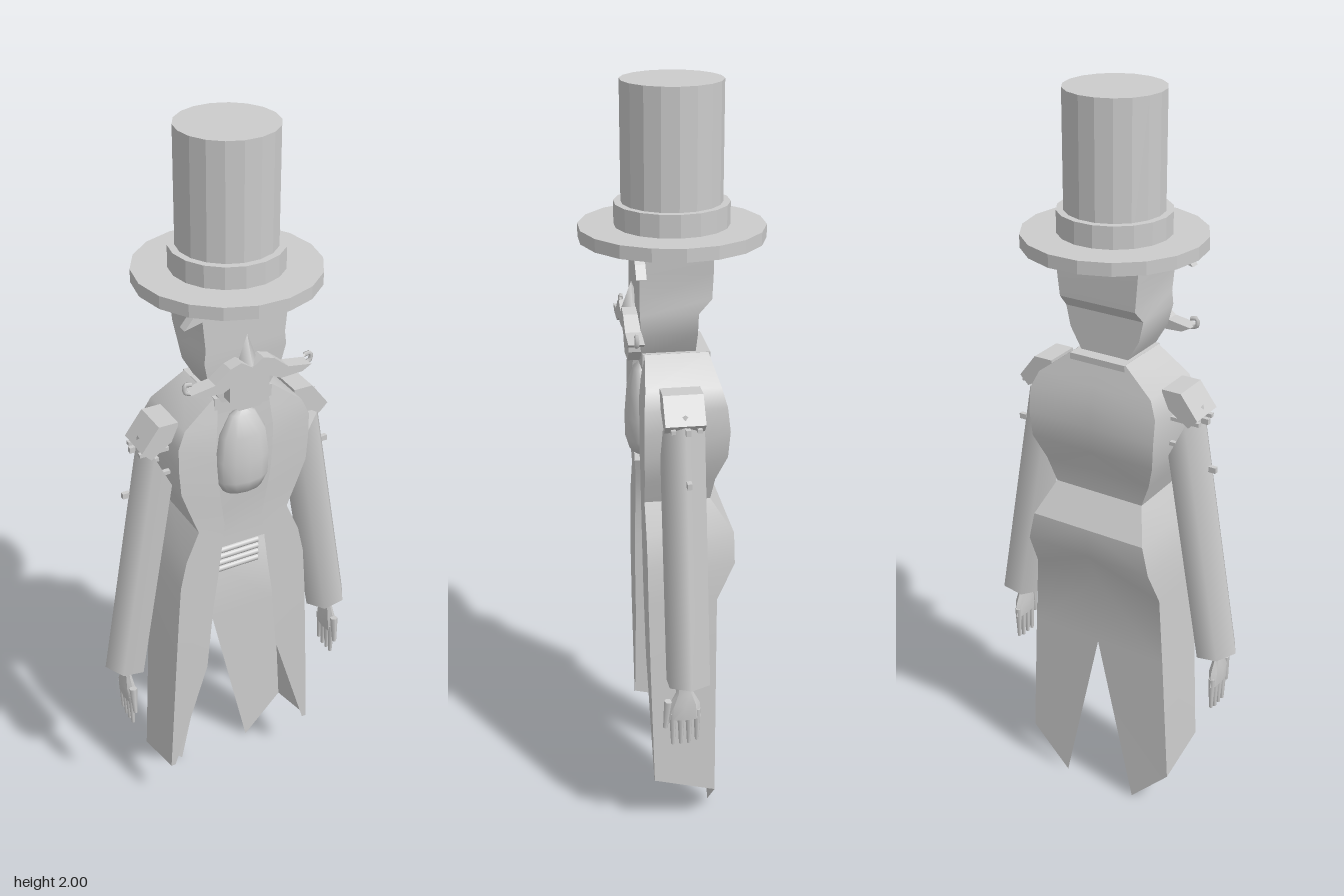
import * as THREE from 'three';
import { toCreasedNormals } from 'three/addons/utils/BufferGeometryUtils.js';

const material = new THREE.MeshStandardMaterial({ color: 0xcccccc, side: THREE.DoubleSide });

function add(parent, name, geometry, x = 0, y = 0, z = 0) {
  const mesh = new THREE.Mesh(geometry, material);
  mesh.name = name;
  mesh.position.set(x, y, z);
  parent.add(mesh);
  return mesh;
}

// Surface through rows of points, with creased edges
function loft(rows, closed = false) {
  const n = rows[0].length, index = [];
  for (let r = 0; r < rows.length - 1; r++) {
    for (let i = 0; i < (closed ? n : n - 1); i++) {
      const a = r * n + i, b = r * n + (i + 1) % n;
      index.push(a, a + n, b, b, a + n, b + n);
    }
  }
  const g = new THREE.BufferGeometry();
  g.setAttribute('position', new THREE.Float32BufferAttribute(rows.flat(2), 3));
  g.setIndex(index);
  g.computeVertexNormals();
  return toCreasedNormals(g, 0.5);
}

// Flat outline given depth from z to z + depth
function plate(points, z, depth) {
  const shape = new THREE.Shape(points.map(p => new THREE.Vector2(...p)));
  return new THREE.ExtrudeGeometry(shape, { depth, bevelEnabled: false }).translate(0, 0, z);
}

function disc(radius, height) {
  const g = new THREE.CylinderGeometry(radius, radius, height, 18).rotateY(Math.PI / 18);
  return toCreasedNormals(g, 0.3);
}

function buildHat() {
  const hat = new THREE.Group();
  hat.name = 'topHat';
  add(hat, 'brim', disc(0.232, 0.033), 0, 1.637, 0);
  add(hat, 'hatBand', disc(0.143, 0.06), 0, 1.68, 0);
  add(hat, 'crown', disc(0.125, 0.35), 0, 1.825, 0);
  return hat;
}

function buildHead() {
  const head = new THREE.Group();
  head.name = 'head';
  // half width, height, front z, back z
  const rows = [
    [0.12, 1.625, 0.095, -0.085], [0.115, 1.56, 0.095, -0.085], [0.108, 1.49, 0.095, -0.083],
    [0.112, 1.455, 0.095, -0.05], [0.1, 1.4, 0.09, -0.05], [0.06, 1.33, 0.085, -0.05],
  ].map(([w, y, f, b]) => [[-w, y, f], [w, y, f], [w, y, b], [-w, y, b]]);
  add(head, 'skull', loft(rows, true));
  add(head, 'nose', new THREE.ConeGeometry(0.028, 0.075, 4), 0, 1.475, 0.102);
  add(head, 'goatee', plate([[-0.055, 1.4], [-0.055, 1.345], [-0.03, 1.315],
    [0.03, 1.315], [0.055, 1.345], [0.055, 1.4]], 0.08, 0.037));
  add(head, 'collar', new THREE.BoxGeometry(0.16, 0.045, 0.17), 0, 1.323, 0);

  for (const side of [1, -1]) {
    const half = new THREE.Group();
    half.name = side > 0 ? 'leftFace' : 'rightFace';
    half.scale.x = side;
    head.add(half);
    add(half, 'eyebrow', plate([[0.04, 1.595], [0.085, 1.575], [0.11, 1.58], [0.17, 1.565],
      [0.145, 1.595], [0.125, 1.613], [0.085, 1.598]], 0.085, 0.025));
    add(half, 'moustache', plate([[0, 1.435], [0.03, 1.455], [0.06, 1.445], [0.1, 1.412], [0.165, 1.402],
      [0.14, 1.388], [0.08, 1.385], [0.04, 1.405], [0, 1.4]], 0.09, 0.04));
    const curl = new THREE.CatmullRomCurve3([[0.15, 1.395], [0.172, 1.403], [0.172, 1.422], [0.155, 1.42]]
      .map(([x, y]) => new THREE.Vector3(x, y, 0.11)));
    add(half, 'moustacheCurl', new THREE.TubeGeometry(curl, 8, 0.006, 5));
  }
  return head;
}

// Half of the tailcoat: front edge, front corner, back corner, back centre
function coatHalf() {
  // height, front edge x, side x, front z, back z
  const rows = [
    [1.345, 0.07, 0.08, 0.08, -0.08], [1.28, 0.075, 0.165, 0.09, -0.1], [1.235, 0.08, 0.185, 0.095, -0.112],
    [1.17, 0.08, 0.185, 0.095, -0.12], [1.1, 0.075, 0.18, 0.095, -0.115], [1.03, 0.065, 0.155, 0.092, -0.088],
    [0.965, 0.055, 0.13, 0.09, -0.08], [0.88, 0.065, 0.167, 0.09, -0.137], [0.8, 0.075, 0.185, 0.09, -0.137],
    [0.7, 0.09, 0.193, 0.09, -0.09], [0.5, 0.108, 0.205, 0.087, -0.088],
  ].map(([y, e, w, f, b]) => [[e, y, f], [w, y, f], [w, y, b], [0, y, b]]);
  // hem and pointed tail
  rows.push([[0.21, 0.165, 0.08], [0.223, 0.165, 0.08], [0.225, 0.12, -0.085], [0.11, 0, -0.085]]);
  return loft(rows);
}

function buildArm() {
  const arm = new THREE.Group();
  // Hexagonal sleeve with a slanted armhole at the top
  const length = 0.715;
  const g = new THREE.CylinderGeometry(0.06, 0.06, length, 6).rotateY(Math.PI / 6).translate(0, -length / 2, 0);
  const p = g.attributes.position;
  for (let i = 0; i < p.count; i++) {
    if (p.getY(i) > -0.1) p.setY(i, 1.4 * (p.getX(i) - 0.06));
  }
  const sleeve = add(arm, 'sleeve', g, 0.195, 1.24, 0.005);
  sleeve.rotation.z = 0.171;

  add(arm, 'shoulderPlate', plate([[0.165, 1.25], [0.24, 1.2], [0.265, 1.225],
    [0.217, 1.288], [0.165, 1.288]], -0.045, 0.1));
  // Ties between coat and sleeve
  for (const [y, x] of [[1.21, 0.225], [1.14, 0.205]]) {
    for (const z of [-0.03, 0.035]) {
      add(arm, 'shoulderTie', new THREE.BoxGeometry(0.08, 0.01, 0.012), x, y, z);
    }
  }
  add(arm, 'upperStud', new THREE.BoxGeometry(0.02, 0.015, 0.012), 0.265, 1.21, 0);
  add(arm, 'lowerStud', new THREE.BoxGeometry(0.02, 0.015, 0.012), 0.29, 1.08, 0);

  // Hand: thin palm, four fingers and a thumb
  const hand = new THREE.Group();
  hand.name = 'hand';
  hand.position.set(0.32, 0, 0.015);
  arm.add(hand);
  const palm = [[0.012, 0.55, 0.022], [0.011, 0.51, 0.022], [0.017, 0.475, 0.04], [0.013, 0.43, 0.044]]
    .map(([w, y, d]) => Array.from({ length: 8 }, (_, i) => {
      const a = -i * Math.PI / 4;
      return [w * Math.cos(a), y, d * Math.sin(a)];
    }));
  add(hand, 'palm', loft(palm, true));
  for (let i = 0; i < 4; i++) {
    const finger = new THREE.CylinderGeometry(0.01, 0.005, 0.095, 6);
    add(hand, 'finger', finger, 0, 0.4 + (i === 3 ? 0.008 : 0), 0.03 - i * 0.021);
  }
  const thumb = add(hand, 'thumb', new THREE.CylinderGeometry(0.011, 0.006, 0.08, 6), 0, 0.445, 0.046);
  thumb.rotation.x = -0.1;
  return arm;
}

export function createModel() {
  const model = new THREE.Group();
  model.name = 'gentleman';
  model.add(buildHat(), buildHead());

  // Waistcoat panel between the coat edges
  const vest = [[0.07, 1.33, 0.07], [0.12, 1.2, 0.075], [0.11, 1.05, 0.07], [0.09, 0.96, 0.06], [0.11, 0.87, 0.06]]
    .map(([w, y, z]) => [[-w, y, z], [w, y, z]]);
  add(model, 'waistcoat', loft(vest));

  // Puffed cravat
  const profile = [[0.001, 1.045], [0.055, 1.065], [0.073, 1.1], [0.075, 1.16], [0.065, 1.23], [0.035, 1.285], [0.001, 1.305]]
    .map(([x, y]) => new THREE.Vector2(x, y));
  const cravat = add(model, 'cravat', new THREE.LatheGeometry(profile, 12), 0, 0, 0.08);
  cravat.scale.z = 0.58;

  // Ribbed waist sash
  add(model, 'sash', new THREE.BoxGeometry(0.14, 0.1, 0.02), 0, 0.822, 0.025);
  for (let i = 0; i < 5; i++) {
    const rib = new THREE.CylinderGeometry(0.009, 0.009, 0.145, 8).rotateZ(Math.PI / 2);
    add(model, 'sashRib', rib, 0, 0.782 + i * 0.02, 0.036);
  }

  const coat = coatHalf();
  for (const side of [1, -1]) {
    const label = side > 0 ? 'left' : 'right';
    add(model, label + 'CoatHalf', coat).scale.x = side;
    const arm = buildArm();
    arm.name = label + 'Arm';
    arm.scale.x = side;
    model.add(arm);
  }
  return model;
}
